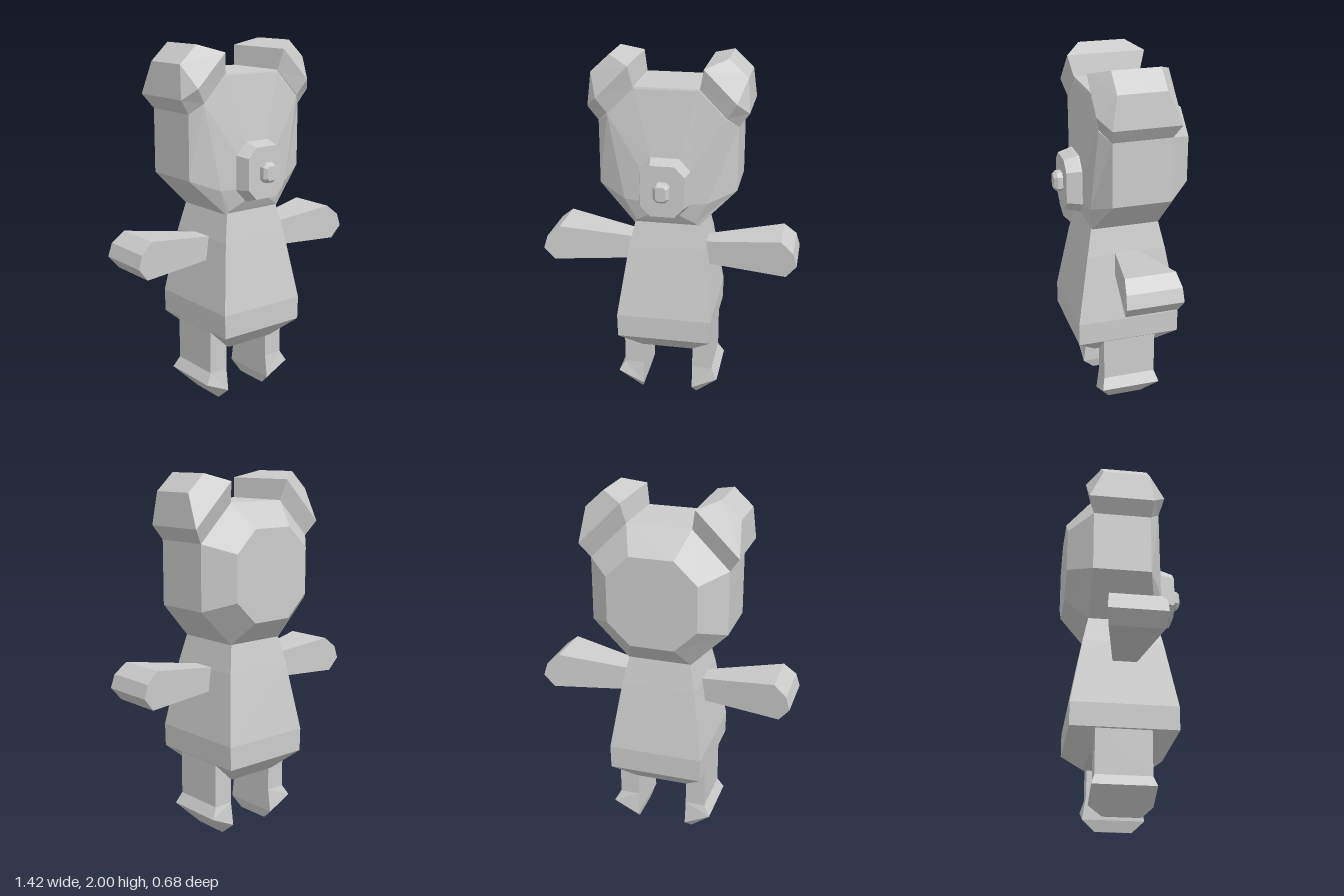
import * as THREE from 'three';

const fur = new THREE.MeshStandardMaterial({ color: 0xcccccc, flatShading: true });
fur.name = 'grey fur';

// Closed faceted solid through matching rings of [x, y, z] points, ends capped.
function loft(name, rings) {
  const tris = [];
  const v = (p) => new THREE.Vector3(...p);
  const add = (a, b, c) => {
    const t = new THREE.Triangle(v(a), v(b), v(c));
    if (t.getArea() > 1e-7) tris.push(t);
  };
  const n = rings[0].length;
  for (let r = 0; r + 1 < rings.length; r++) {
    const p = rings[r], q = rings[r + 1];
    for (let i = 0; i < n; i++) {
      const j = (i + 1) % n;
      add(p[i], p[j], q[j]);
      add(p[i], q[j], q[i]);
    }
  }
  const first = rings[0], last = rings[rings.length - 1];
  for (let i = 1; i + 1 < n; i++) {
    add(first[0], first[i + 1], first[i]);
    add(last[0], last[i], last[i + 1]);
  }
  // Turn the faces outward whichever way the rings run
  let volume = 0;
  for (const t of tris) volume += t.a.dot(t.b.clone().cross(t.c));
  const points = tris.flatMap((t) => (volume > 0 ? [t.a, t.b, t.c] : [t.a, t.c, t.b]));
  const geometry = new THREE.BufferGeometry().setFromPoints(points);
  geometry.computeVertexNormals();
  const mesh = new THREE.Mesh(geometry, fur);
  mesh.name = name;
  return mesh;
}

// Ring symmetric in x, from its +x half listed top to bottom
const mirrorRing = (half) => [...half, ...half.map(([x, y, z]) => [-x, y, z]).reverse()];

// Upright octagon at depth z: w, h half sizes; cw, ch where the corners are cut
const octagon = (y, z, w, h, cw, ch) =>
  mirrorRing([[cw, y + h, z], [w, y + ch, z], [w, y - ch, z], [cw, y - h, z]]);

// Level rectangle spanning x0..x1 and z0..z1, with its own height on each x side
const rect = (x0, y0, x1, y1, z0, z1) =>
  [[x0, y0, z0], [x1, y1, z0], [x1, y1, z1], [x0, y0, z1]];

export function createModel() {
  const model = new THREE.Group();
  model.name = 'bear';

  // Body: tapered square column with a chamfered base
  const bodyRows = [
    [1.11, 0.17, 0.172, -0.204],
    [0.95, 0.205, 0.205, -0.238],
    [0.57, 0.263, 0.272, -0.304],
    [0.44, 0.26, 0.272, -0.304],
    [0.33, 0.148, 0.157, -0.188],
  ];
  model.add(loft('body', bodyRows.map(([y, w, zf, zb]) => rect(-w, y, w, y, zb, zf))));

  // Head: octagonal block, chamfered at the back and swelling towards the muzzle
  model.add(loft('head', [
    octagon(1.475, -0.338, 0.245, 0.245, 0.12, 0.125),
    octagon(1.475, -0.205, 0.375, 0.375, 0.175, 0.175),
    mirrorRing([[0.175, 1.85, 0.165], [0.375, 1.65, 0.115], [0.375, 1.3, 0.115], [0.175, 1.1, 0.168]]),
    mirrorRing([[0.172, 1.84, 0.168], [0.315, 1.7, 0.17], [0.225, 1.24, 0.19], [0.16, 1.12, 0.18]]),
    octagon(1.33, 0.21, 0.13, 0.155, 0.07, 0.09),
  ]));

  // Muzzle and nose
  model.add(loft('muzzle', [
    octagon(1.33, 0.19, 0.137, 0.16, 0.075, 0.093),
    octagon(1.33, 0.215, 0.137, 0.16, 0.075, 0.093),
    octagon(1.33, 0.291, 0.118, 0.14, 0.065, 0.085),
  ]));
  model.add(loft('nose', [
    octagon(1.332, 0.285, 0.043, 0.053, 0.022, 0.032),
    octagon(1.332, 0.32, 0.043, 0.053, 0.022, 0.032),
    octagon(1.332, 0.338, 0.027, 0.038, 0.018, 0.026),
  ]));

  for (const s of [1, -1]) {
    const side = s > 0 ? 'left' : 'right';
    const put = (part, rings) => model.add(loft(
      side + part, rings.map((ring) => ring.map(([x, y, z]) => [s * x, y, z]))));

    // Ear: sits on the slanted head corner, flares, then closes to a small top
    put('Ear', [
      [[0.175, 1.85, 0.168], [0.315, 1.705, 0.17], [0.375, 1.65, 0.115], [0.375, 1.65, -0.205], [0.175, 1.85, -0.205]],
      [[0.197, 1.96, 0.195], [0.37, 1.787, 0.195], [0.43, 1.728, 0.13], [0.43, 1.728, -0.236], [0.197, 1.96, -0.236]],
      [[0.312, 2, 0.103], [0.415, 1.905, 0.103], [0.415, 1.905, 0.103], [0.415, 1.905, -0.157], [0.312, 2, -0.157]],
    ]);

    // Arm: side outline widened in depth towards the paw
    const outline = [[0.17, 0.955], [0.62, 1.02], [0.69, 0.962], [0.712, 0.89], [0.655, 0.82], [0.17, 0.829]];
    put('Arm', [1, -1].map((d) => outline.map(([x, y]) => [x, y, -0.012 + d * (0.026 + 0.178 * x)])));

    // Leg and foot: straight post, flared outward, with a sloping sole
    put('Leg', [
      rect(0.143, 0.45, 0.255, 0.45, -0.17, 0.128),
      rect(0.143, 0.19, 0.255, 0.19, -0.17, 0.128),
      rect(0.143, 0.06, 0.29, 0.13, -0.19, 0.145),
      rect(0.16, 0, 0.165, 0, -0.12, 0.08),
    ]);
  }
  return model;
}
